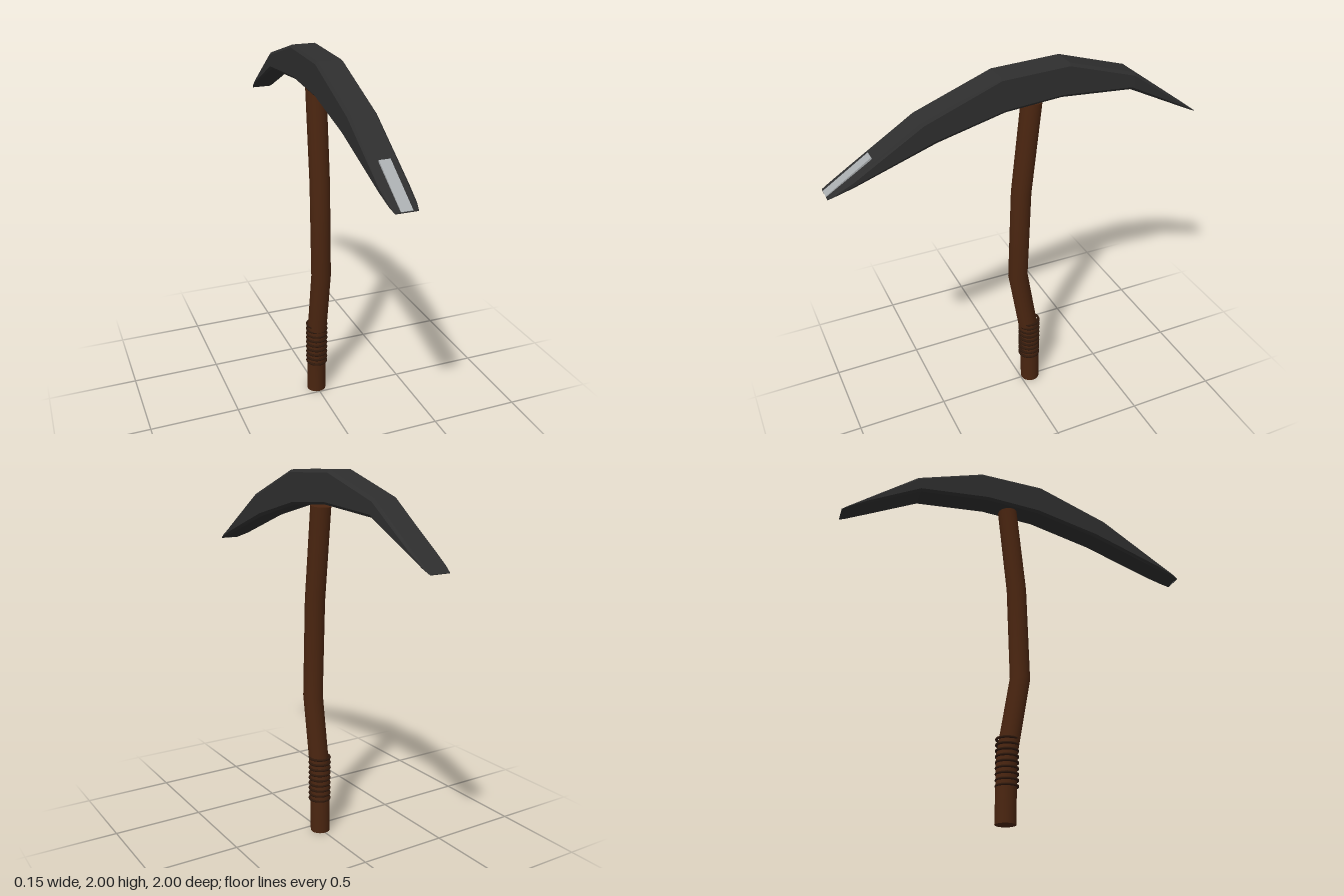
import * as THREE from 'three';
import { toCreasedNormals } from 'three/addons/utils/BufferGeometryUtils.js';

// Skin a list of equal-length point rings, with a cap on both ends
function loft(rings, crease) {
  const n = rings[0].length;
  const last = (rings.length - 1) * n;
  const index = [];
  for (let i = 0; i < rings.length - 1; i++) {
    for (let j = 0; j < n; j++) {
      const a = i * n + j, b = i * n + (j + 1) % n;
      index.push(a, b, b + n, a, b + n, a + n);
    }
  }
  for (let j = 1; j < n - 1; j++) {
    index.push(0, j + 1, j, last, last + j, last + j + 1);
  }
  const geometry = new THREE.BufferGeometry();
  geometry.setAttribute('position', new THREE.Float32BufferAttribute(rings.flat(2), 3));
  geometry.setIndex(index);
  return toCreasedNormals(geometry, crease);
}

// Bevelled rectangle across the head, leaning from its bottom to its top edge
function headRing([zTop, yTop, zBottom, yBottom, w]) {
  const f = Math.min(0.3, 0.014 / (yTop - yBottom));
  const b = Math.min(0.012, f * (yTop - yBottom) * 2);
  const section = [
    [w, f], [w, 1 - f], [w - b, 1], [b - w, 1],
    [-w, 1 - f], [-w, f], [b - w, 0], [w - b, 0],
  ];
  return section.map(([x, t]) => [
    x,
    THREE.MathUtils.lerp(yBottom, yTop, t),
    THREE.MathUtils.lerp(zBottom, zTop, t),
  ]);
}

// Circle around the handle's axis, tilted by a slope along z
function handleRing([y, z, slope]) {
  const r = 0.054, sides = 20, ring = [];
  for (let j = 0; j < sides; j++) {
    const a = (j / sides) * Math.PI * 2;
    const dz = -r * Math.sin(a);
    ring.push([r * Math.cos(a), y + slope * dz, z + dz]);
  }
  return ring;
}

export function createModel() {
  const model = new THREE.Group();
  model.name = 'pickaxe';

  const material = (name, color) => {
    const m = new THREE.MeshStandardMaterial({ color });
    m.name = name;
    return m;
  };
  const iron = material('dark iron', 0x2e2e2e);
  const steel = material('bare steel', 0xa9adaf);
  const wood = material('brown wood', 0x4a2510);
  const cord = material('dark cord', 0x2e180b);

  const add = (name, geometry, mat, parent = model) => {
    const mesh = new THREE.Mesh(geometry, mat);
    mesh.name = name;
    parent.add(mesh);
    return mesh;
  };

  // Curved head, back tip to front tip: zTop, yTop, zBottom, yBottom, half width
  const stations = [
    [-1, 1.598, -1, 1.595, 0.055],
    [-0.96, 1.627, -0.96, 1.614, 0.064],
    [-0.87, 1.692, -0.87, 1.658, 0.071],
    [-0.6, 1.887, -0.58, 1.8, 0.073],
    [-0.23, 2.0, -0.19, 1.83, 0.073],
    [0.13, 1.987, 0.11, 1.807, 0.073],
    [0.53, 1.836, 0.46, 1.72, 0.073],
    [0.87, 1.623, 0.87, 1.577, 0.071],
    [0.96, 1.567, 0.96, 1.55, 0.064],
    [1, 1.542, 1, 1.538, 0.055],
  ];
  add('head', loft(stations.map(headRing), 0.1), iron);

  // Bare plate lying on top of the front tip
  const plate = add('tipPlate', new THREE.BoxGeometry(0.056, 0.009, 0.275), steel);
  plate.position.set(0, 1.617, 0.884);
  plate.rotation.x = Math.atan2(0.15, 0.23);

  // Crooked handle: y, z, slope of the ring
  const axis = [
    [0, -0.058, 0],
    [0.35, -0.053, -0.08],
    [0.78, 0.019, -0.05],
    [1.31, -0.001, 0.08],
    [1.812, -0.057, 0.11],
  ];
  add('handle', loft(axis.map(handleRing), 0.6), wood);

  // Cord rings on the grip
  const grip = new THREE.Group();
  grip.name = 'gripWrap';
  model.add(grip);
  const ringGeometry = new THREE.TorusGeometry(0.055, 0.007, 8, 28).rotateX(Math.PI / 2);
  for (let i = 0; i < 9; i++) {
    add('cordRing', ringGeometry, cord, grip).position.set(0, 0.192 + i * 0.0305, -0.051);
  }

  return model;
}
